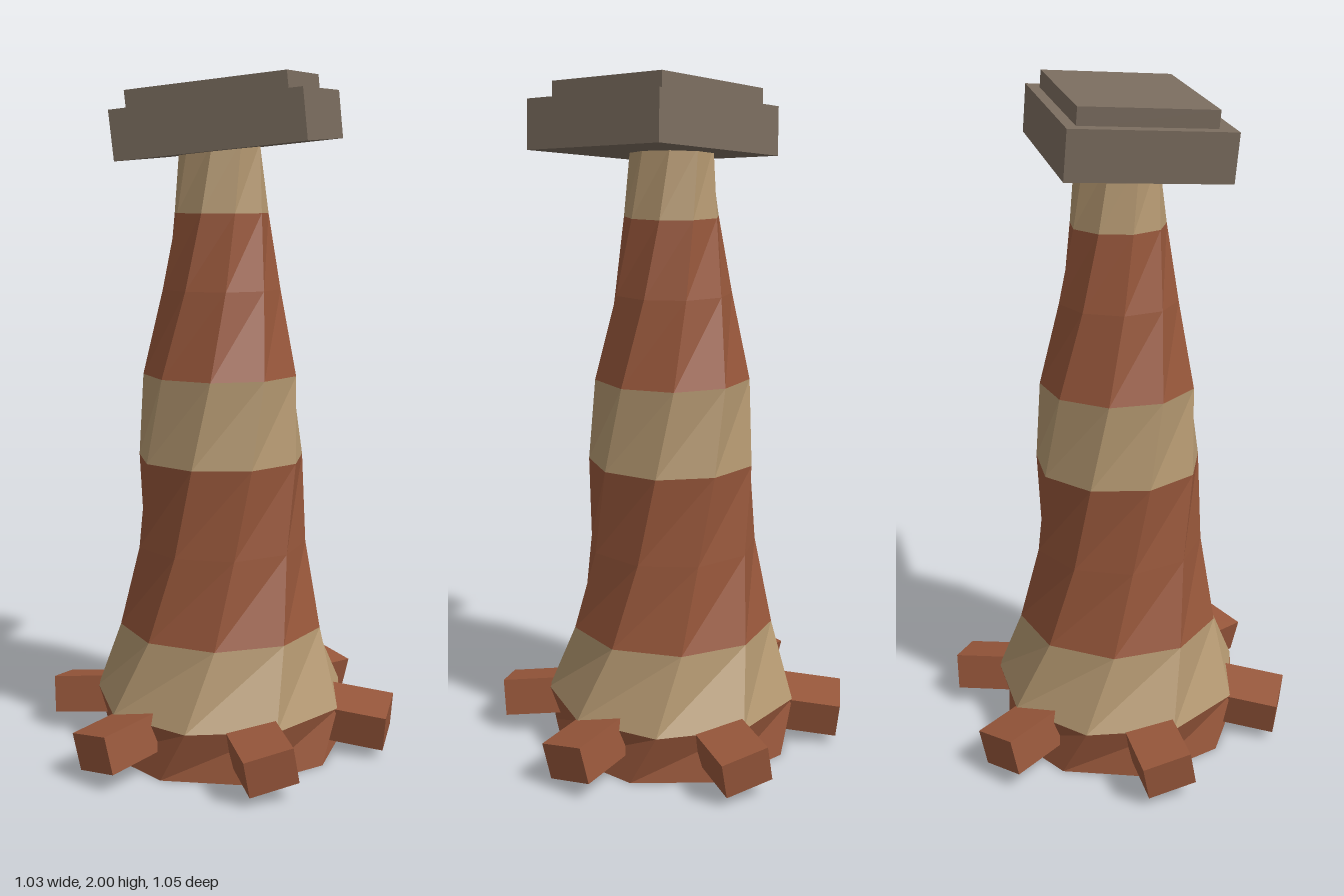
import * as THREE from 'three';

const SIDES = 9;
const deg = THREE.MathUtils.degToRad;

// Column rings: [height, radius]; each ring is turned 12 degrees past the one below
const RINGS = [
  [0, 0.375], [0.15, 0.382], [0.37, 0.305], [0.62, 0.255], [0.88, 0.25],
  [1.13, 0.23], [1.38, 0.175], [1.6, 0.14], [1.8, 0.12],
];
const ringAngle = (i) => deg(9 + 12 * i);

function facet(geometry) {
  const flat = geometry.toNonIndexed();
  flat.computeVertexNormals();
  return flat;
}

// Twisted tapering band between two rings
function bandGeometry(from, to) {
  const rows = to - from;
  const geo = new THREE.CylinderGeometry(1, 1, rows, SIDES, rows, true);
  const pos = geo.attributes.position;
  for (let v = 0; v < pos.count; v++) {
    const ring = from + Math.round(pos.getY(v) + rows / 2);
    const [y, r] = RINGS[ring];
    const a = Math.atan2(pos.getX(v), pos.getZ(v)) + ringAngle(ring);
    pos.setXYZ(v, r * Math.sin(a), y, r * Math.cos(a));
  }
  return facet(geo);
}

export function createModel() {
  const rust = new THREE.MeshStandardMaterial({ color: 0x96563a });
  rust.name = 'rust';
  const sand = new THREE.MeshStandardMaterial({ color: 0xb2966f });
  sand.name = 'sand';
  const stone = new THREE.MeshStandardMaterial({ color: 0x7a6c5e });
  stone.name = 'stone';

  const model = new THREE.Group();
  model.name = 'twistedPillar';
  const add = (parent, name, geometry, material) => {
    const mesh = new THREE.Mesh(geometry, material);
    mesh.name = name;
    parent.add(mesh);
    return mesh;
  };

  // Alternating strata of the column
  const column = new THREE.Group();
  column.name = 'column';
  model.add(column);
  [[0, 1], [1, 2], [2, 4], [4, 5], [5, 7], [7, 8]].forEach(([from, to], i) => {
    add(column, `stratum${i + 1}`, bandGeometry(from, to), i % 2 ? sand : rust);
  });

  // Underside of the column
  const underside = new THREE.CircleGeometry(RINGS[0][1], SIDES, ringAngle(0) - Math.PI / 2);
  underside.rotateX(Math.PI / 2);
  add(column, 'underside', underside, rust);

  // Six blocks around the foot, rolled and drooping outward
  const block = new THREE.BoxGeometry(0.145, 0.11, 0.25);
  for (let i = 0; i < 6; i++) {
    const a = deg(-8 + 60 * i);
    const foot = add(model, `footBlock${i + 1}`, block, rust);
    foot.position.set(0.392 * Math.sin(a), 0.108, 0.392 * Math.cos(a));
    foot.rotation.set(0.1, a, 0.2, 'YXZ');
  }

  // Tilted capstone with a smaller slab on top
  const cap = new THREE.Group();
  cap.name = 'capstone';
  cap.position.set(0.046, 1.85, 0.018);
  cap.rotation.set(0.06, deg(20), 0.09, 'YXZ');
  model.add(cap);
  add(cap, 'capBlock', new THREE.BoxGeometry(0.55, 0.14, 0.47), stone);
  const slab = add(cap, 'capSlab', new THREE.BoxGeometry(0.465, 0.06, 0.39), stone);
  slab.position.set(-0.008, 0.09, -0.008);

  return model;
}
